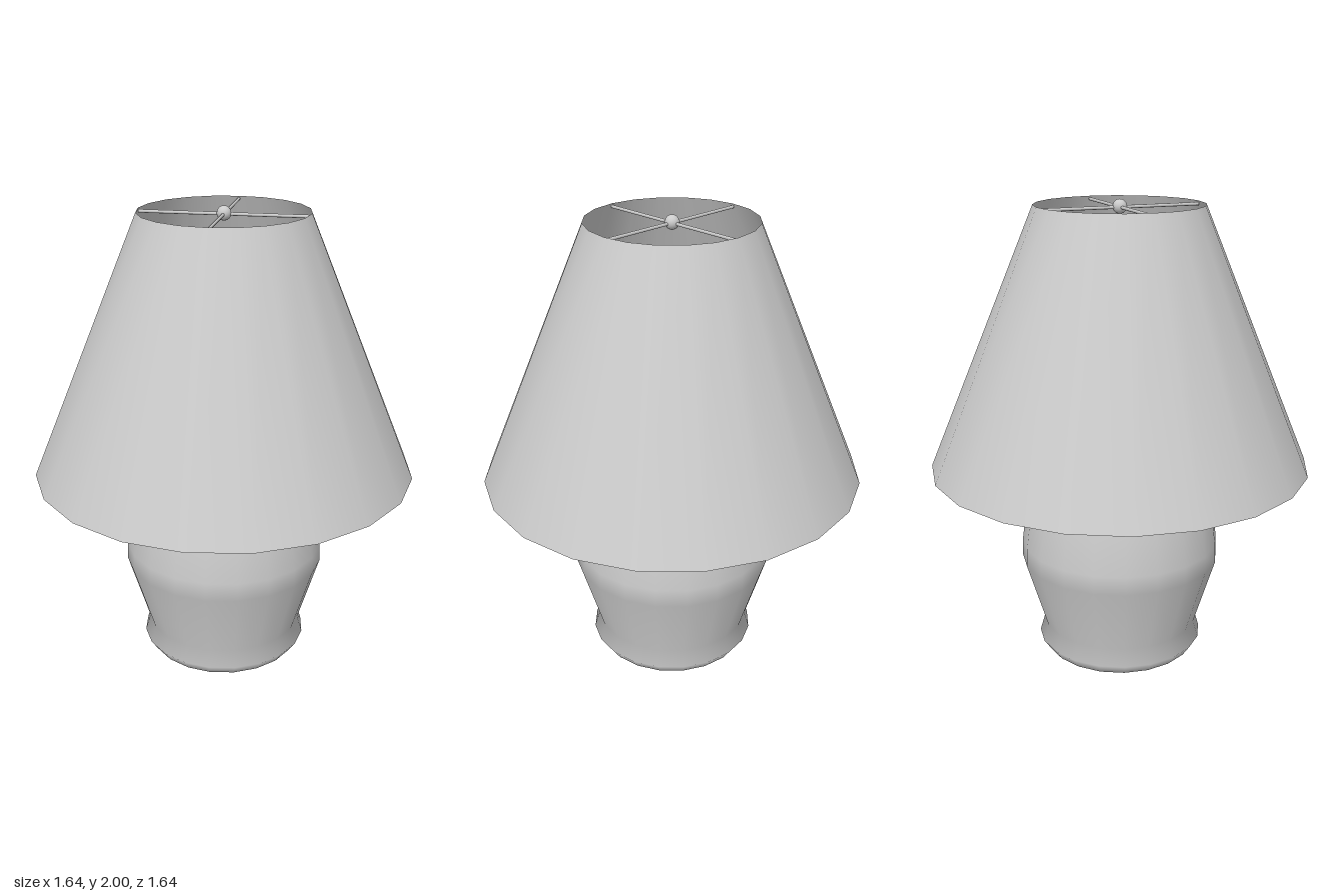
import * as THREE from 'three';

const SIDES = 20;

export function createModel() {
  const model = new THREE.Group();
  const solid = new THREE.MeshStandardMaterial({ color: 0xcccccc });
  const thin = new THREE.MeshStandardMaterial({ color: 0xcccccc, side: THREE.DoubleSide });

  const add = (name, geometry, y = 0, material = solid, parent = model) => {
    const mesh = new THREE.Mesh(geometry, material);
    mesh.name = name;
    mesh.position.y = y;
    parent.add(mesh);
    return mesh;
  };
  const lathe = (points) =>
    new THREE.LatheGeometry(points.map(([r, y]) => new THREE.Vector2(r, y)), SIDES);

  // Four thin horizontal arms meeting on the axis
  const addSpider = (name, y, reach) => {
    const spider = new THREE.Group();
    spider.name = name;
    spider.position.y = y;
    for (const axis of ['x', 'z']) {
      const bar = add('arm', new THREE.CylinderGeometry(0.007, 0.007, reach * 2, 8), 0, solid, spider);
      bar.rotation[axis] = Math.PI / 2;
    }
    model.add(spider);
  };

  // Vase-shaped base, with a foot ring and a rounded shoulder
  add('base', lathe([
    [0, 0], [0.29, 0], [0.335, 0.005], [0.366, 0.05], [0.344, 0.125],
    [0.437, 0.43], [0.435, 0.51], [0.412, 0.69], [0.39, 0.75],
    [0.325, 0.865], [0.27, 0.94], [0.215, 0.99], [0.09, 1.05], [0, 1.06],
  ]));

  // Neck cap and stem
  add('neckCap', lathe([[0.085, 1.04], [0.09, 1.075], [0.07, 1.097], [0.035, 1.108], [0, 1.11]]));
  add('stem', new THREE.CylinderGeometry(0.01, 0.01, 0.22, 10), 1.2);

  // Socket and bulb inside the shade
  add('socket', new THREE.CylinderGeometry(0.048, 0.048, 0.08, SIDES), 1.335);
  add('bulb', lathe([
    [0.04, 1.37], [0.05, 1.41], [0.078, 1.45], [0.09, 1.5],
    [0.082, 1.545], [0.055, 1.58], [0.025, 1.592], [0, 1.595],
  ]));

  // Arms holding the shade, and the finial on top
  addSpider('lowerSpider', 1.31, 0.62);
  addSpider('upperSpider', 1.967, 0.355);
  add('finial', new THREE.SphereGeometry(0.03, 16, 12), 1.97);

  // Open conical shade
  add('shade', new THREE.CylinderGeometry(0.356, 0.82, 1.115, SIDES, 1, true), 1.4225, thin);

  return model;
}
